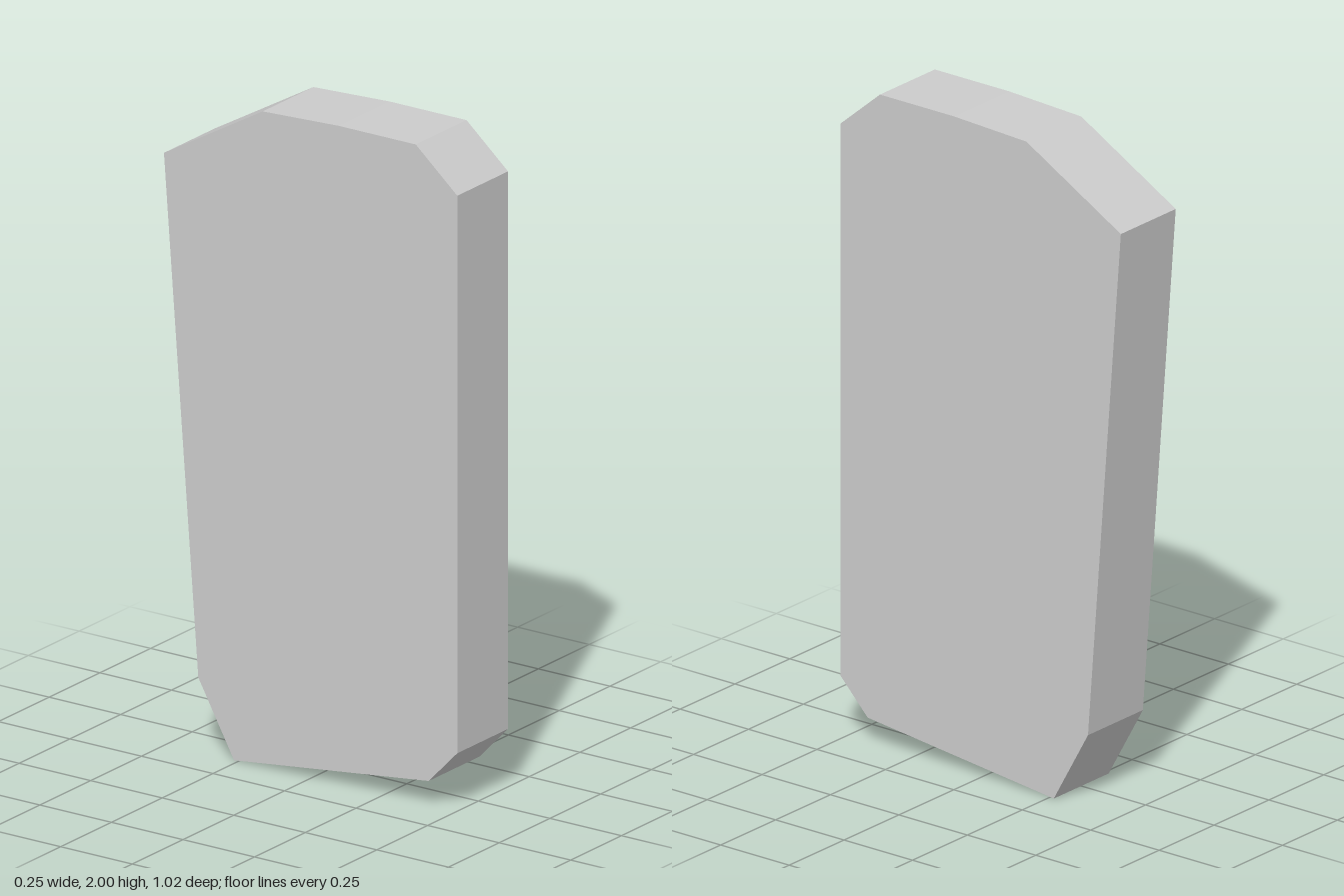
import * as THREE from 'three';

export function createModel() {
  const group = new THREE.Group();
  const width = 0.25;

  // Side outline as (z, y), counter-clockwise
  const outline = [
    [0.515, 0.185], [0.415, 0.08], [-0.265, 0.003], [-0.39, 0.225],
    [-0.51, 1.79], [-0.165, 1.988], [0.1, 2], [0.37, 2], [0.515, 1.875],
  ].map(([z, y]) => new THREE.Vector2(z, y));
  outline[2].y = 0;

  // Slab with chamfered corners, extruded across x
  const geometry = new THREE.ExtrudeGeometry(new THREE.Shape(outline), {
    depth: width,
    bevelEnabled: false,
  });
  geometry.translate(0, 0, -width / 2);
  geometry.rotateY(-Math.PI / 2);

  const slab = new THREE.Mesh(
    geometry,
    new THREE.MeshStandardMaterial({ color: 0xcccccc, flatShading: true })
  );
  slab.name = 'slab';
  group.add(slab);
  return group;
}
